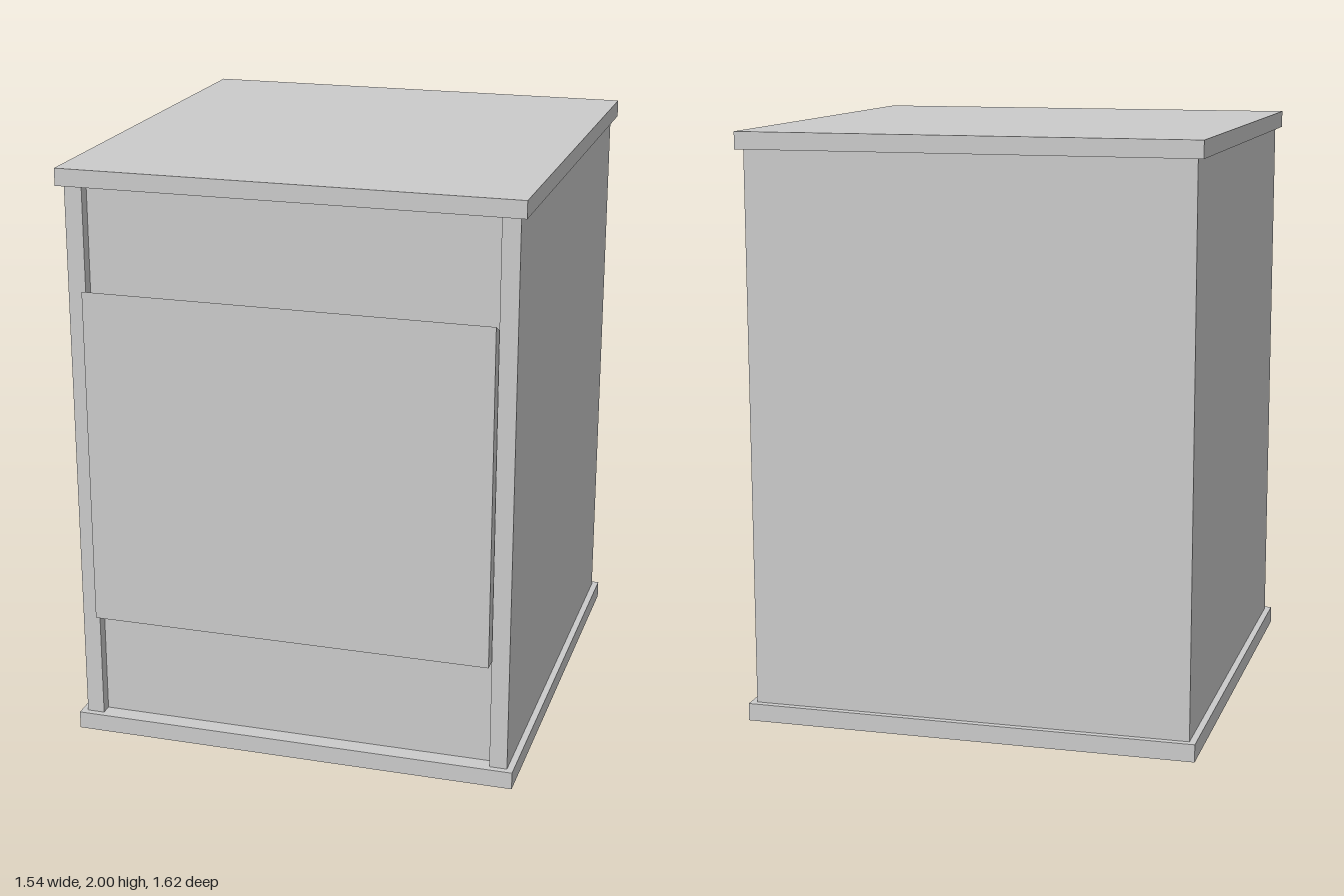
import * as THREE from 'three';

const material = new THREE.MeshStandardMaterial({ color: 0xcccccc, flatShading: true });

// Box given by its limits on each axis
function panel(name, [x0, x1], [y0, y1], [z0, z1]) {
  const mesh = new THREE.Mesh(new THREE.BoxGeometry(x1 - x0, y1 - y0, z1 - z0), material);
  mesh.position.set((x0 + x1) / 2, (y0 + y1) / 2, (z0 + z1) / 2);
  mesh.name = name;
  return mesh;
}

export function createModel() {
  const cabinet = new THREE.Group();
  cabinet.name = 'cabinet';

  const low = 0.06, high = 1.942;   // space between the two boards
  const inner = 0.69, outer = 0.75; // side panel faces
  const back = -0.73, front = 0.775, recess = 0.735;

  // Overhanging boards
  cabinet.add(panel('baseBoard', [-0.772, 0.772], [0, low], [-0.81, 0.797]));
  cabinet.add(panel('topBoard', [-0.772, 0.772], [high, 2], [-0.81, 0.797]));

  // Carcass
  cabinet.add(panel('leftSide', [inner, outer], [low, high], [back, front]));
  cabinet.add(panel('rightSide', [-outer, -inner], [low, high], [back, front]));
  cabinet.add(panel('backPanel', [-outer, outer], [low, high], [-0.787, back]));

  // Recessed fronts above and below the door
  cabinet.add(panel('lowerFront', [-inner, inner], [low, 0.44], [0.675, recess]));
  cabinet.add(panel('upperFront', [-inner, inner], [1.56, high], [0.675, recess]));

  // Protruding door; its top edge slopes down toward the back as a finger grip
  const profile = new THREE.Shape([
    [recess, 0.44], [0.813, 0.44], [0.813, 1.6], [recess, 1.56],
  ].map(([z, y]) => new THREE.Vector2(-z, y)));
  const width = 2 * 0.688;
  const doorGeometry = new THREE.ExtrudeGeometry(profile, { depth: width, bevelEnabled: false });
  doorGeometry.translate(0, 0, -width / 2).rotateY(Math.PI / 2);
  // rotateY maps local x to -z, so the profile uses -z
  const door = new THREE.Mesh(doorGeometry, material);
  door.name = 'door';
  cabinet.add(door);

  return cabinet;
}
